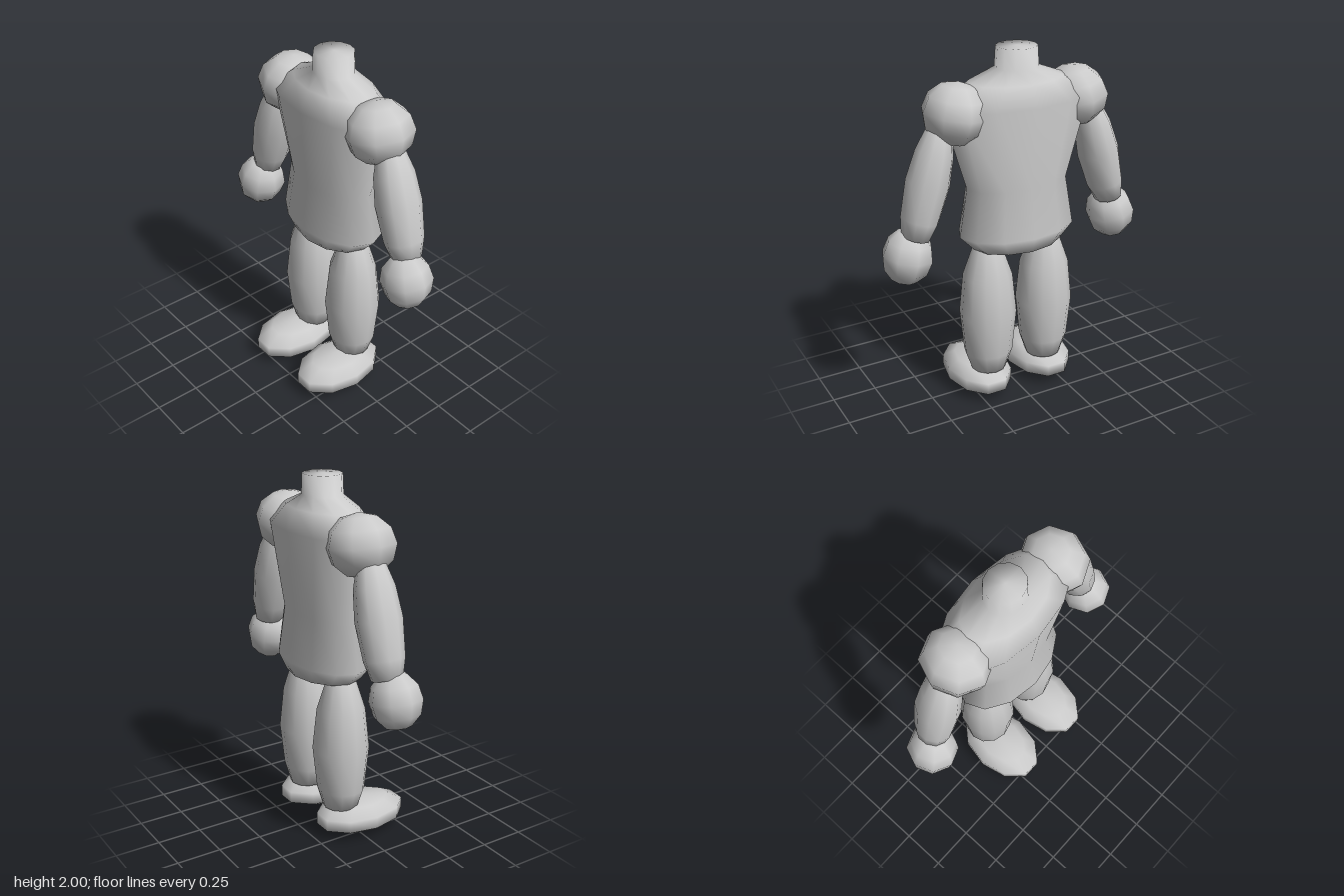
import * as THREE from 'three';
import { mergeVertices } from 'three/addons/utils/BufferGeometryUtils.js';

const material = new THREE.MeshStandardMaterial({ color: 0xcccccc });
const BODY_Z = -0.075;

// Smooth closed body from elliptical rings [y, halfWidth, halfDepth]
function ringBody(rings, segments, phiStart = 0) {
  const points = rings.map(([y, w]) => new THREE.Vector2(w, y));
  const lathe = new THREE.LatheGeometry(points, segments, phiStart);
  const pos = lathe.attributes.position;
  for (let i = 0; i < pos.count; i++) {
    const [, w, d] = rings[i % rings.length];
    if (w > 0) pos.setZ(i, pos.getZ(i) * d / w);
  }
  lathe.deleteAttribute('uv');
  lathe.deleteAttribute('normal');
  const geometry = mergeVertices(lathe, 1e-4);
  geometry.computeVertexNormals();
  return geometry;
}

function addPart(parent, name, geometry, x, y, z) {
  const mesh = new THREE.Mesh(geometry, material);
  mesh.name = name;
  mesh.position.set(x, y, z);
  parent.add(mesh);
  return mesh;
}

export function createModel() {
  const model = new THREE.Group();
  model.name = 'figure';

  // Torso with the neck stump, capped at both ends
  addPart(model, 'torso', ringBody([
    [0.915, 0, 0], [0.915, 0.26, 0.18], [1.0, 0.34, 0.21], [1.27, 0.295, 0.175],
    [1.72, 0.43, 0.22], [1.83, 0.27, 0.165], [1.89, 0.118, 0.108],
    [2.0, 0.11, 0.105], [2.0, 0, 0],
  ], 12), 0, 0, BODY_Z);

  const ball = new THREE.SphereGeometry(1, 8, 6);

  // Arm barrel, running from the wrist at its origin up to the shoulder
  const arm = ringBody([
    [0, 0, 0], [0, 0.075, 0.085], [0.1, 0.1, 0.11], [0.3, 0.116, 0.125],
    [0.46, 0.1, 0.11], [0.58, 0.068, 0.075], [0.62, 0.035, 0.04], [0.63, 0, 0],
  ], 10);

  const leg = ringBody([
    [0.16, 0, 0], [0.17, 0.1, 0.1], [0.28, 0.138, 0.13], [0.52, 0.16, 0.155],
    [0.75, 0.138, 0.13], [0.9, 0.085, 0.085], [0.96, 0.05, 0.05], [0.97, 0, 0],
  ], 12);

  // Oval foot with a blunt toe and heel
  const foot = ringBody([
    [0, 0, 0], [0.025, 0.115, 0.17], [0.065, 0.175, 0.266],
    [0.13, 0.175, 0.266], [0.178, 0.115, 0.17], [0.2, 0, 0],
  ], 10, Math.PI / 10);

  for (const [side, s] of [['left', 1], ['right', -1]]) {
    const shoulder = addPart(model, side + 'Shoulder', ball, s * 0.353, 1.692, BODY_Z);
    shoulder.scale.set(0.178, 0.165, 0.19);
    shoulder.rotation.z = s * 0.15;

    const armMesh = addPart(model, side + 'Arm', arm, s * 0.595, 1.06, BODY_Z);
    armMesh.rotation.z = s * 0.268;

    const hand = addPart(model, side + 'Hand', ball, s * 0.632, 0.95, -0.046);
    hand.scale.set(0.14, 0.155, 0.143);
    hand.rotation.z = s * 0.2;

    addPart(model, side + 'Leg', leg, s * 0.178, 0, BODY_Z);
    addPart(model, side + 'Foot', foot, s * 0.195, 0, 0.042);
  }
  return model;
}
